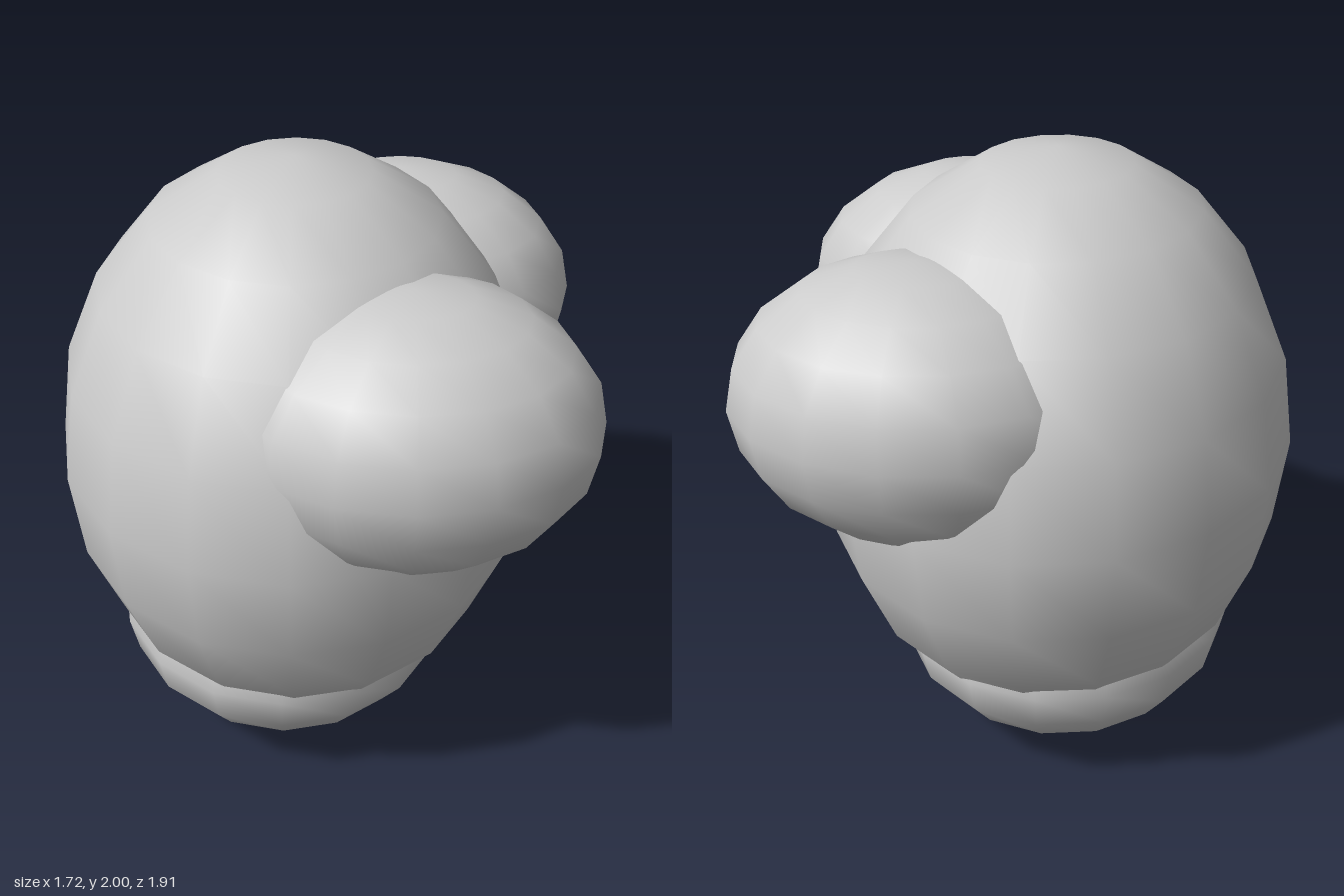
import * as THREE from 'three';

const material = new THREE.MeshStandardMaterial({ color: 0xcccccc });
const ball = new THREE.SphereGeometry(1, 16, 10);

// Smooth, coarse ellipsoid given by centre and radii
function ellipsoid(name, centre, radii) {
  const mesh = new THREE.Mesh(ball, material);
  mesh.name = name;
  mesh.position.set(...centre);
  mesh.scale.set(...radii);
  return mesh;
}

export function createModel() {
  const group = new THREE.Group();
  group.name = 'head';

  // Large egg-shaped skull
  group.add(ellipsoid('skull', [-0.08, 1.04, 0], [0.78, 0.96, 0.88]));

  // Flattened jaw below
  group.add(ellipsoid('jaw', [-0.12, 0.4, 0], [0.58, 0.4, 0.67]));

  // Mirrored pair of bulging eyes facing +x
  for (const side of [1, -1]) {
    const name = side > 0 ? 'frontEye' : 'backEye';
    group.add(ellipsoid(name, [0.27, 1.34, side * 0.455], [0.59, 0.44, 0.5]));
  }

  return group;
}
